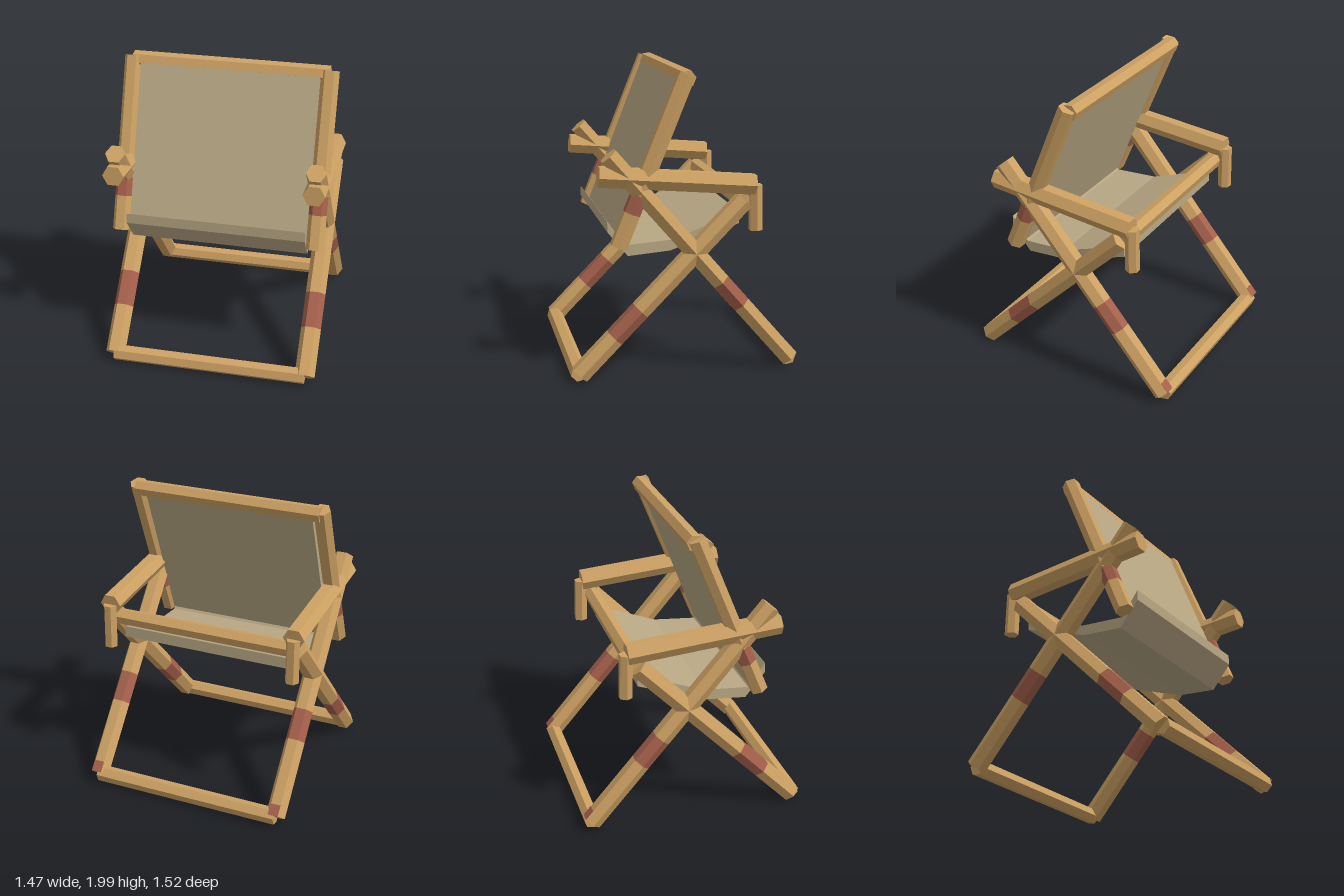
import * as THREE from 'three';

const wood = new THREE.MeshStandardMaterial({ color: 0xcda163 });
wood.name = 'wood';
const fabric = new THREE.MeshStandardMaterial({ color: 0xb9a884 });
fabric.name = 'canvas';
const red = new THREE.MeshStandardMaterial({ color: 0xa5604b });
red.name = 'red band';

const SIDE_X = 0.66;

// give a geometry hard facets
function faceted(geometry) {
  const g = geometry.index ? geometry.toNonIndexed() : geometry;
  g.computeVertexNormals();
  return g;
}

// hexagonal bar in a plane of constant x, from a to b, each [z, y]
function hexBar(name, x, a, b, radius, material) {
  const dz = b[0] - a[0], dy = b[1] - a[1];
  const g = new THREE.CylinderGeometry(radius, radius, Math.hypot(dz, dy), 6);
  g.rotateY(Math.PI / 2);
  g.rotateX(Math.atan2(dz, dy));
  g.translate(x, (a[1] + b[1]) / 2, (a[0] + b[0]) / 2);
  const mesh = new THREE.Mesh(faceted(g), material);
  mesh.name = name;
  return mesh;
}

// hexagonal bar with a coloured band between fractions t0 and t1
function bandedBar(name, x, a, b, radius, t0, t1) {
  const at = (t) => [a[0] + (b[0] - a[0]) * t, a[1] + (b[1] - a[1]) * t];
  const group = new THREE.Group();
  group.name = name;
  group.add(
    hexBar(name + 'Lower', x, a, at(t0), radius, wood),
    hexBar(name + 'Band', x, at(t0), at(t1), radius, red),
    hexBar(name + 'Upper', x, at(t1), b, radius, wood)
  );
  return group;
}

// hexagonal rail across the chair; angle turns a corner toward that side
function rail(name, z, y, angle) {
  const g = new THREE.CylinderGeometry(0.056, 0.056, SIDE_X * 2, 6);
  g.rotateZ(Math.PI / 2);
  g.rotateX(-angle);
  g.translate(0, y, z);
  const mesh = new THREE.Mesh(faceted(g), wood);
  mesh.name = name;
  return mesh;
}

// sheet of canvas from a closed [z, y] outline, extruded across x
function canvas(name, outline, halfWidth) {
  const shape = new THREE.Shape(outline.map(([z, y]) => new THREE.Vector2(-z, y)));
  const g = new THREE.ExtrudeGeometry(shape, { depth: halfWidth * 2, bevelEnabled: false });
  g.translate(0, 0, -halfWidth);
  g.rotateY(Math.PI / 2);
  const mesh = new THREE.Mesh(g, fabric);
  mesh.name = name;
  return mesh;
}

export function createModel() {
  const chair = new THREE.Group();
  chair.name = 'foldingChair';

  for (const [side, s] of [['left', 1], ['right', -1]]) {
    const x = s * SIDE_X;
    const frame = new THREE.Group();
    frame.name = side + 'Frame';

    // crossed legs
    const rearFoot = [-0.71, 0.065], rearTop = [0.5, 1.475];
    frame.add(bandedBar('frontLeg', x, [0.7, 0.05], [-0.385, 1.155], 0.068, 0.212, 0.369));
    frame.add(bandedBar('rearLeg', x, rearFoot, rearTop, 0.067, 0.28, 0.395));

    // painted patch on the upper face of the rear foot
    const patch = new THREE.Mesh(new THREE.BoxGeometry(0.067, 0.075, 0.004), red);
    const tilt = Math.atan2(rearTop[0] - rearFoot[0], rearTop[1] - rearFoot[1]);
    patch.name = 'footPatch';
    patch.rotation.x = tilt;
    patch.position.set(x, rearFoot[1], rearFoot[0]);
    patch.translateY(0.0375);
    patch.translateZ(-0.058);
    frame.add(patch);

    // back upright, arm and the short post behind it
    frame.add(bandedBar('backUpright', x, [0.44, 0.885], [-0.002, 1.972], 0.06, 0.197, 0.303));
    frame.add(hexBar('arm', x, [0.567, 1.345], [-0.456, 1.255], 0.073, wood));
    frame.add(hexBar('armPost', x, [-0.466, 0.953], [-0.46, 1.253], 0.047, wood));
    chair.add(frame);
  }

  // rails between the two sides
  chair.add(rail('frontFootRail', 0.702, 0.055, Math.PI / 4));
  chair.add(rail('rearFootRail', -0.705, 0.065, 0.86));
  chair.add(rail('seatRail', -0.383, 1.145, Math.PI / 4));
  chair.add(rail('topRail', -0.01, 1.944, 1.96));

  // reclined back panel
  chair.add(canvas('backPanel', [
    [0.04, 1.95], [-0.016, 1.927], [0.385, 0.9], [0.445, 0.92]
  ], 0.6));

  // sagging seat
  const top = [[0.5, 1.04], [0.385, 0.878], [0.08, 0.9], [-0.37, 1.065]];
  const bottom = [[-0.37, 0.988], [0.09, 0.828], [0.368, 0.806], [0.5, 0.97]];
  chair.add(canvas('seat', [...top, ...bottom], 0.602));

  return chair;
}
